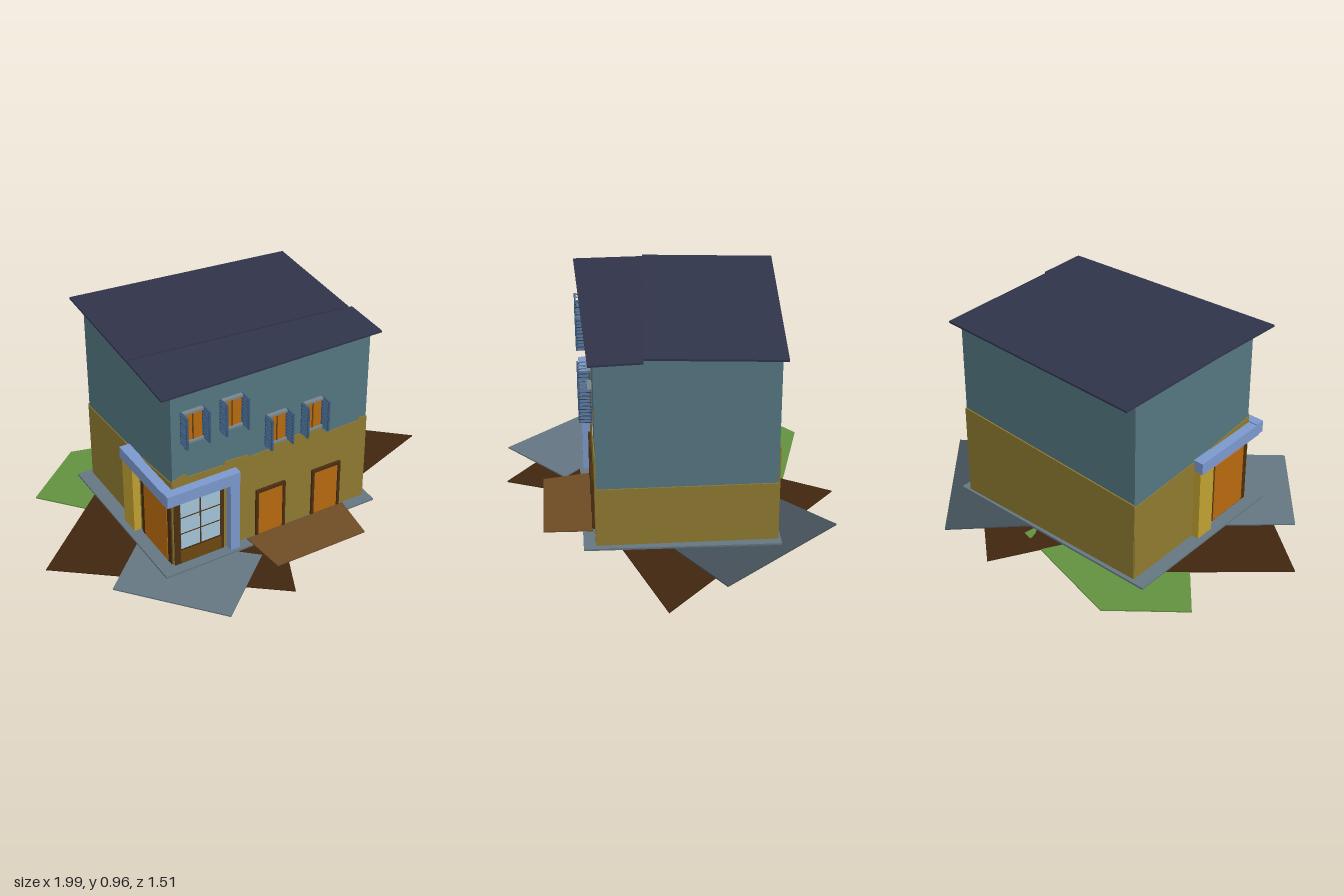
import * as THREE from 'three';
import { ConvexGeometry } from 'three/addons/geometries/ConvexGeometry.js';

const COLORS = {
  wall: 0x547680, stucco: 0x8f7a30, roof: 0x30344a, trim: 0x7b98cc, shutter: 0x3c5a7c,
  door: 0xb8690f, frame: 0x4a2f10, panel: 0x6b470f, glass: 0xa3c3d6, earth: 0x40260f,
  paving: 0x647682, slate: 0x434f57, grass: 0x62913f, path: 0x6e4c24, post: 0xbfa030, sill: 0x77848a,
};
const MATS = {};
for (const key in COLORS) MATS[key] = new THREE.MeshStandardMaterial({ color: COLORS[key] });

export function createModel() {
  const model = new THREE.Group();

  const add = (parent, name, geometry, mat) => {
    const mesh = new THREE.Mesh(geometry, MATS[mat]);
    mesh.name = name;
    parent.add(mesh);
    return mesh;
  };
  // Box given by its minimum and maximum corners
  const box = (parent, name, mat, x0, x1, y0, y1, z0, z1) => {
    const mesh = add(parent, name, new THREE.BoxGeometry(x1 - x0, y1 - y0, z1 - z0), mat);
    mesh.position.set((x0 + x1) / 2, (y0 + y1) / 2, (z0 + z1) / 2);
    return mesh;
  };
  // Convex slab under a tilted polygon of [x, y, z] corners
  const slab = (name, mat, corners, thickness) => {
    const pts = [];
    for (const [x, y, z] of corners) {
      pts.push(new THREE.Vector3(x, y, z), new THREE.Vector3(x, y - thickness, z));
    }
    return add(model, name, new ConvexGeometry(pts), mat);
  };
  // Thin upright panel from an outline of [u, y] points
  const panel = (name, mat, outline, depth) => {
    const shape = new THREE.Shape(outline.map(([u, y]) => new THREE.Vector2(u, y)));
    return add(model, name, new THREE.ExtrudeGeometry(shape, { depth, bevelEnabled: false }), mat);
  };

  // Ground plates, tips drooping to the ground
  slab('earthPlateRight', 'earth',
    [[0.99, 0.009, 0.07], [0.07, 0.008, -0.76], [-0.2, 0.012, -0.3], [0.32, 0.014, 0.3]], 0.005);
  slab('earthPlateLeft', 'earth',
    [[-1, 0.009, 0.07], [-0.135, 0.008, 0.75], [0.02, 0.013, 0.4], [-0.5, 0.012, -0.37]], 0.005);
  slab('pavingPlateLeft', 'paving',
    [[-0.81, 0.014, 0.34], [-0.46, 0.013, 0.75], [-0.14, 0.018, 0.48], [-0.55, 0.018, 0.1]], 0.006);
  slab('pavingPlateRight', 'slate',
    [[0.37, 0.013, -0.73], [0.825, 0.014, -0.19], [0.5, 0.018, 0.03], [0.08, 0.018, -0.45]], 0.006);
  slab('grassPlate', 'grass',
    [[-0.82, 0.006, -0.43], [-0.52, 0.006, -0.675], [0.08, 0.01, -0.51], [0, 0.011, 0], [-0.5, 0.009, -0.05]], 0.006);
  slab('foundation', 'paving',
    [[-0.58, 0.025, 0.405], [0.515, 0.025, 0.405], [0.53, 0.025, -0.46], [-0.58, 0.025, -0.47]], 0.009);
  slab('frontPath', 'path',
    [[-0.145, 0.031, 0.36], [0.37, 0.031, 0.36], [0.345, 0.02, 0.58], [-0.12, 0.02, 0.58]], 0.006);

  // House body with its top sloping down to the right
  const corners = [];
  for (const [x, top] of [[-0.51, 0.94], [0.485, 0.912]]) {
    for (const z of [-0.443, 0.348]) {
      corners.push(new THREE.Vector3(x, 0.02, z), new THREE.Vector3(x, top, z));
    }
  }
  add(model, 'houseWalls', new ConvexGeometry(corners), 'wall');

  // Lower stucco, with a ragged top on the front
  panel('frontStucco', 'stucco', [
    [-0.512, 0.02], [0.488, 0.02], [0.488, 0.47], [0.45, 0.475], [0.44, 0.46], [0.27, 0.455],
    [0.24, 0.49], [0, 0.505], [-0.01, 0.475], [-0.13, 0.47], [-0.14, 0.485], [-0.25, 0.49],
    [-0.26, 0.475], [-0.43, 0.48], [-0.45, 0.5], [-0.512, 0.48],
  ], 0.006).position.z = 0.346;
  panel('backStucco', 'stucco',
    [[-0.512, 0.02], [0.488, 0.02], [0.488, 0.48], [-0.512, 0.42]], 0.006).position.z = -0.449;
  const right = panel('rightStucco', 'stucco',
    [[-0.35, 0.02], [0.446, 0.02], [0.446, 0.305], [-0.35, 0.305]], 0.006);
  right.rotation.y = Math.PI / 2;
  right.position.x = 0.484;
  const left = panel('leftStucco', 'stucco',
    [[-0.446, 0.02], [0.35, 0.02], [0.35, 0.47], [0, 0.43], [-0.446, 0.41]], 0.006);
  left.rotation.y = -Math.PI / 2;
  left.position.x = -0.508;

  // Two lapped roof slabs
  slab('frontRoof', 'roof',
    [[-0.58, 0.947, 0.405], [0.53, 0.914, 0.37], [0.53, 0.921, 0.14], [-0.565, 0.955, 0.06]], 0.009);
  slab('backRoof', 'roof',
    [[-0.57, 0.96, 0.08], [0.51, 0.928, 0.14], [0.545, 0.918, -0.46], [-0.535, 0.95, -0.53]], 0.009);

  // Corner entrance: beams, posts and glazed door
  const entrance = new THREE.Group();
  entrance.name = 'cornerEntrance';
  model.add(entrance);
  box(entrance, 'frontBeam', 'trim', -0.56, -0.2, 0.385, 0.443, 0.35, 0.395);
  box(entrance, 'sideBeam', 'trim', -0.56, -0.51, 0.38, 0.438, -0.045, 0.37);
  box(entrance, 'frontPost', 'trim', -0.247, -0.2, 0.025, 0.39, 0.35, 0.39);
  box(entrance, 'sidePost', 'post', -0.55, -0.51, 0.025, 0.385, -0.045, 0.05);
  box(entrance, 'doorBacking', 'frame', -0.51, -0.262, 0.025, 0.37, 0.35, 0.356);
  box(entrance, 'doorKickPanel', 'panel', -0.482, -0.278, 0.03, 0.095, 0.35, 0.36);
  for (let row = 0; row < 3; row++) {
    for (let col = 0; col < 2; col++) {
      const x = -0.479 + col * 0.102;
      const y = 0.108 + row * 0.086;
      box(entrance, 'glassPane', 'glass', x, x + 0.094, y, y + 0.077, 0.35, 0.359);
    }
  }
  box(entrance, 'sideDoorFrame', 'frame', -0.519, -0.508, 0.025, 0.36, 0.07, 0.34);
  box(entrance, 'sideDoor', 'door', -0.522, -0.508, 0.03, 0.33, 0.1, 0.31);

  // Front doors
  for (const x of [-0.022, 0.273]) {
    const door = new THREE.Group();
    door.name = 'frontDoor';
    door.position.x = x;
    model.add(door);
    box(door, 'doorLeaf', 'door', -0.066, 0.066, 0.028, 0.265, 0.35, 0.357);
    box(door, 'doorHead', 'frame', -0.076, 0.076, 0.262, 0.277, 0.35, 0.364);
    for (const s of [-1, 1]) {
      box(door, 'doorJamb', 'frame', s * 0.07 - 0.006, s * 0.07 + 0.006, 0.025, 0.265, 0.35, 0.364);
    }
  }

  // Windows with slatted shutters opened square to the wall
  for (const [x, y] of [[-0.41, 0.74], [-0.22, 0.74], [0.005, 0.583], [0.19, 0.583]]) {
    const win = new THREE.Group();
    win.name = 'window';
    win.position.set(x, y, 0);
    model.add(win);
    box(win, 'windowLeaf', 'door', -0.045, 0.045, -0.07, 0.07, 0.345, 0.356);
    box(win, 'windowMullion', 'panel', -0.003, 0.003, -0.07, 0.07, 0.35, 0.359);
    box(win, 'windowSill', 'sill', -0.048, 0.048, -0.078, -0.068, 0.345, 0.368);
    box(win, 'windowHead', 'sill', -0.048, 0.048, 0.068, 0.078, 0.345, 0.368);
    for (const s of [-1, 1]) {
      const cx = s * 0.053;
      for (const z of [0.35, 0.4]) {
        box(win, 'shutterStile', 'shutter', cx - 0.004, cx + 0.004, -0.078, 0.078, z, z + 0.008);
      }
      for (let i = 0; i < 10; i++) {
        const slat = box(win, 'shutterSlat', 'shutter', cx - 0.007, cx + 0.007,
          -0.076 + i * 0.0162, -0.07 + i * 0.0162, 0.352, 0.406);
        slat.rotation.z = s * -0.5;
      }
    }
  }
  return model;
}
